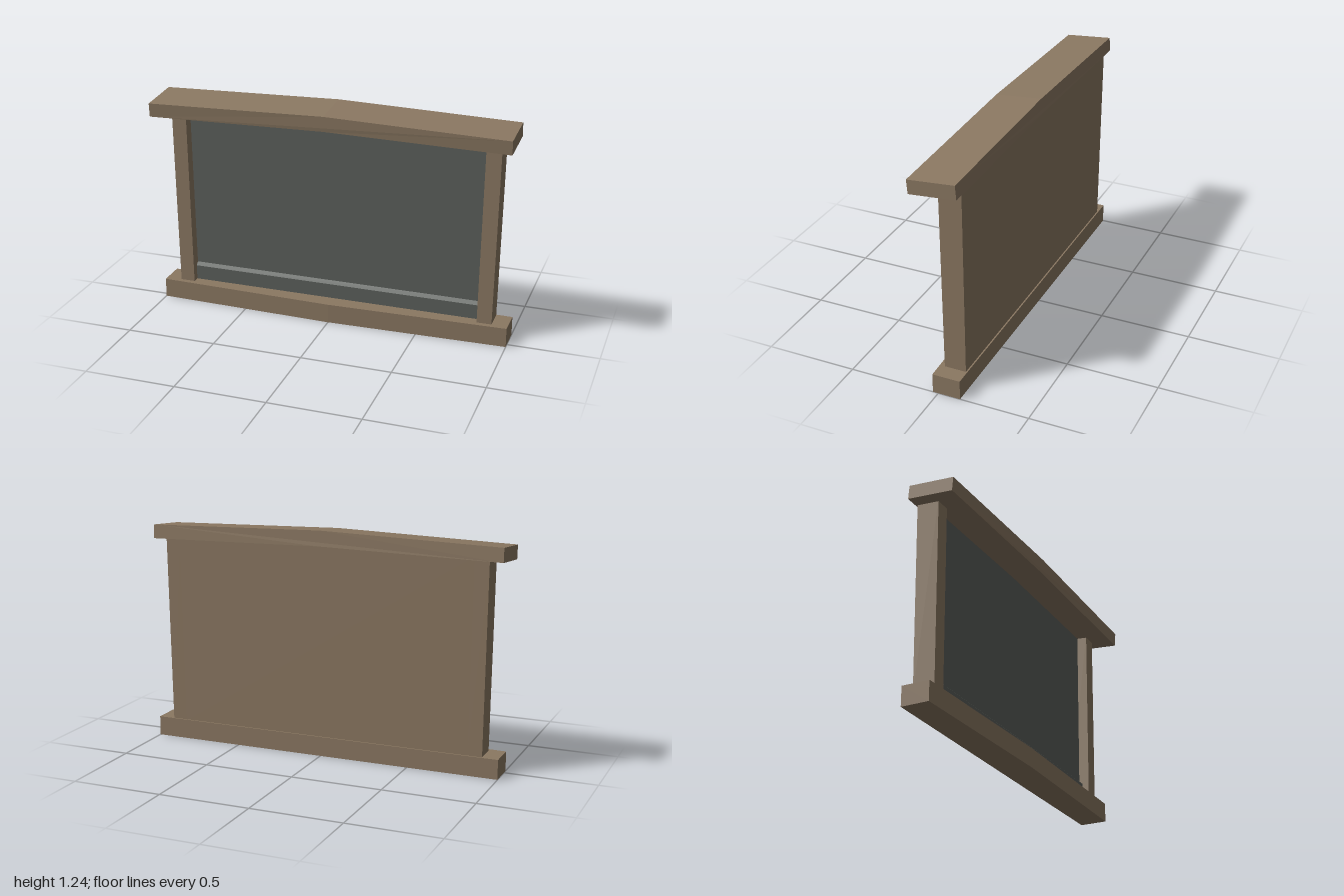
import * as THREE from 'three';

const wood = new THREE.MeshStandardMaterial({ color: 0x8b7862 });
wood.name = 'wood';
const slate = new THREE.MeshStandardMaterial({ color: 0x5b5f5b });
slate.name = 'slate grey';

// Extrudes a closed outline along z
function extrude(points, depth) {
  const shape = new THREE.Shape(points.map(([x, y]) => new THREE.Vector2(x, y)));
  return new THREE.ExtrudeGeometry(shape, { depth, bevelEnabled: false });
}

// Moves every vertex by a rule and rebuilds the normals
function reshape(geometry, rule) {
  const pos = geometry.attributes.position;
  const v = new THREE.Vector3();
  for (let i = 0; i < pos.count; i++) {
    rule(v.fromBufferAttribute(pos, i));
    pos.setXYZ(i, v.x, v.y, v.z);
  }
  geometry.computeVertexNormals();
  return geometry;
}

// Box given by its limits
function block(x0, x1, y0, y1, z0, z1) {
  return new THREE.BoxGeometry(x1 - x0, y1 - y0, z1 - z0)
    .translate((x0 + x1) / 2, (y0 + y1) / 2, (z0 + z1) / 2);
}

// The body widens slightly and its back leans out towards the top
function flare(v) {
  const t = (v.y - 0.11) / 1.02;
  v.x *= 1 + 0.015 * t;
  if (v.z < -0.1) v.z -= 0.005 * t;
}

export function createModel() {
  const group = new THREE.Group();
  const add = (name, geometry, material) => {
    const mesh = new THREE.Mesh(geometry, material);
    mesh.name = name;
    group.add(mesh);
  };

  // Base with a front edge that comes to a shallow point
  const base = extrude([[-1, 0.123], [-1, -0.03], [0, -0.056], [1, -0.03], [1, 0.123]], 0.108);
  add('base', base.rotateX(-Math.PI / 2), wood);

  // Side posts
  for (const [name, side] of [['leftPost', 1], ['rightPost', -1]]) {
    const x = 0.871 * side;
    add(name, reshape(block(x - 0.041, x + 0.041, 0.1, 1.15, -0.115, 0.004), flare), wood);
  }

  // Back board between the posts
  add('backBoard', reshape(block(-0.835, 0.835, 0.1, 1.165, -0.115, -0.062), flare), wood);

  // Recessed panel and the sloped plinth at its foot
  add('panel', reshape(block(-0.833, 0.833, 0.1, 1.16, -0.0615, -0.055), flare), slate);
  const plinth = extrude([[0.056, 0.1], [0.036, 0.1], [0.036, 0.19], [0.056, 0.208]].map(([z, y]) => [-z, y]), 1.666);
  plinth.rotateY(-Math.PI / 2).translate(0.833, 0, 0);
  // the turn maps outline x to z, and depth to -x
  add('plinth', plinth, slate);

  // Top rail: a shallow gable, tilted forward
  const rail = extrude(
    [[-1, 1.129], [0, 1.147], [1, 1.129], [1, 1.205], [0, 1.231], [-1, 1.205]], 0.256);
  rail.translate(0, 0, -0.128);
  add('topRail', reshape(rail, (v) => {
    const z = v.z;
    v.z += v.y > 1.17 ? 0.003 : -0.003;
    v.y -= z * 0.086;
  }), wood);

  return group;
}
